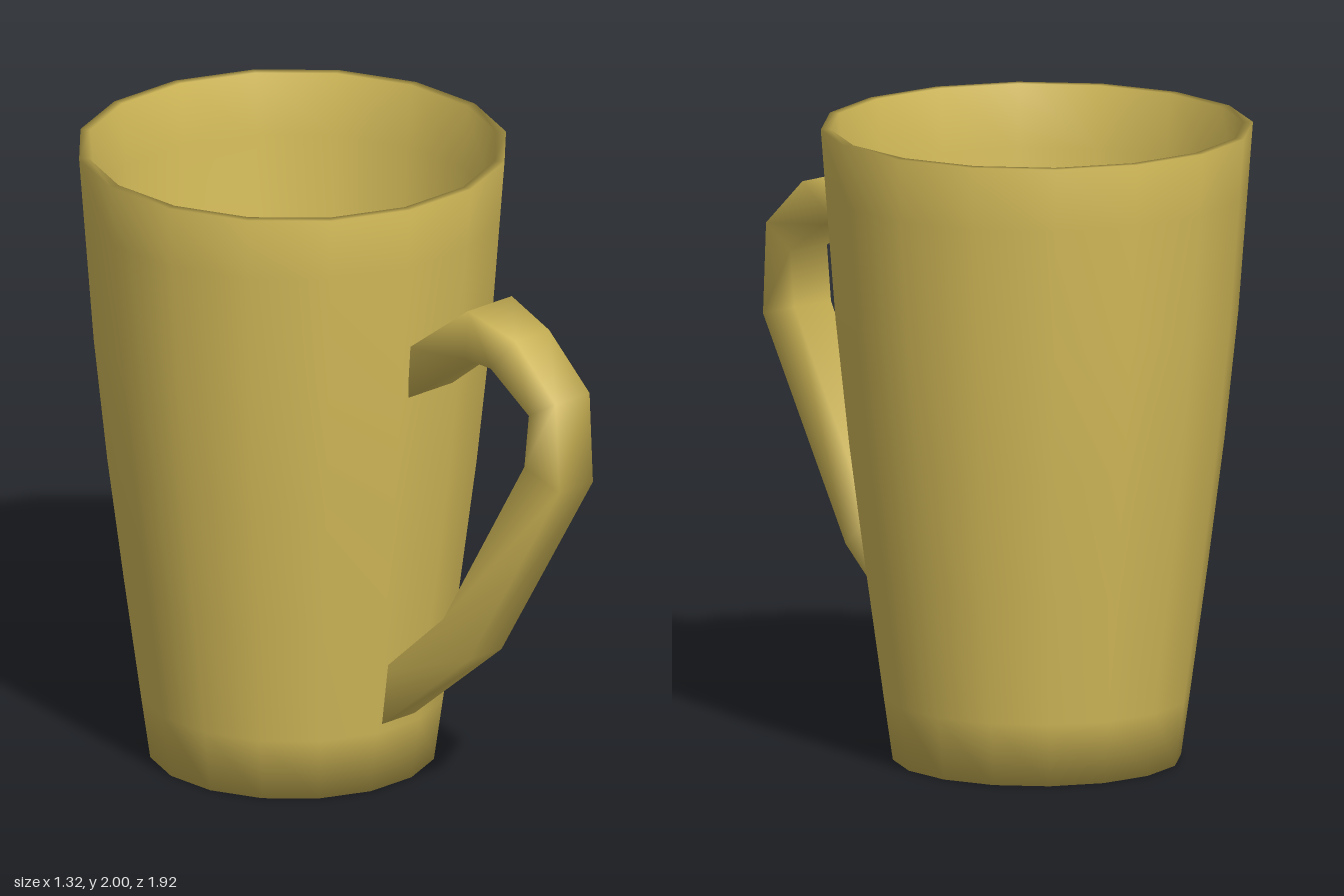
import * as THREE from 'three';

const SIDES = 16;
const material = new THREE.MeshStandardMaterial({ color: 0xd6bd5a });

// Sixteen-sided cup wall, revolved from the base up, over the rim and down to the inner floor
function makeCup() {
  const flat = 1 / Math.cos(Math.PI / SIDES); // radii below are measured to the flats
  const profile = [
    [0, 0], [0.44, 0], [0.468, 0.2], [0.522, 0.6], [0.573, 1.0], [0.615, 1.4], [0.645, 1.8], [0.66, 2],
    [0.63, 2], [0.615, 1.8], [0.585, 1.4], [0.543, 1.0], [0.492, 0.6], [0.44, 0.2], [0.41, 0.07], [0, 0.07],
  ].map(([r, y]) => new THREE.Vector2(r * flat, y));
  const cup = new THREE.Mesh(new THREE.LatheGeometry(profile, SIDES, Math.PI / SIDES), material);
  cup.name = 'cup';
  cup.position.z = -0.3;
  return cup;
}

// Four-cornered handle lofted through stations: outer z, y, inner z, y, half width
function makeHandle() {
  const stations = [
    [0.315, 1.52, 0.315, 1.355, 0.095],
    [0.58, 1.715, 0.57, 1.553, 0.095],
    [0.77, 1.66, 0.66, 1.54, 0.073],
    [0.95, 1.5, 0.83, 1.43, 0.073],
    [0.965, 1.21, 0.81, 1.255, 0.073],
    [0.56, 0.545, 0.445, 0.65, 0.07],
    [0.155, 0.213, 0.16, 0.395, 0.07],
  ];
  const points = [];
  const index = [];
  for (const [oz, oy, iz, iy, w] of stations) {
    points.push(-w, oy, oz, w, oy, oz, w, iy, iz, -w, iy, iz);
  }
  for (let s = 0; s < stations.length - 1; s++) {
    for (let k = 0; k < 4; k++) {
      const a = s * 4 + k;
      const b = s * 4 + ((k + 1) % 4);
      index.push(a, a + 4, b, b, a + 4, b + 4);
    }
  }
  // End caps
  const e = (stations.length - 1) * 4;
  index.push(0, 1, 2, 0, 2, 3, e, e + 2, e + 1, e, e + 3, e + 2);

  const geometry = new THREE.BufferGeometry();
  geometry.setAttribute('position', new THREE.Float32BufferAttribute(points, 3));
  geometry.setIndex(index);
  geometry.computeVertexNormals();
  const handle = new THREE.Mesh(geometry, material);
  handle.name = 'handle';
  return handle;
}

export function createModel() {
  const mug = new THREE.Group();
  mug.name = 'mug';
  mug.add(makeCup(), makeHandle());
  return mug;
}
